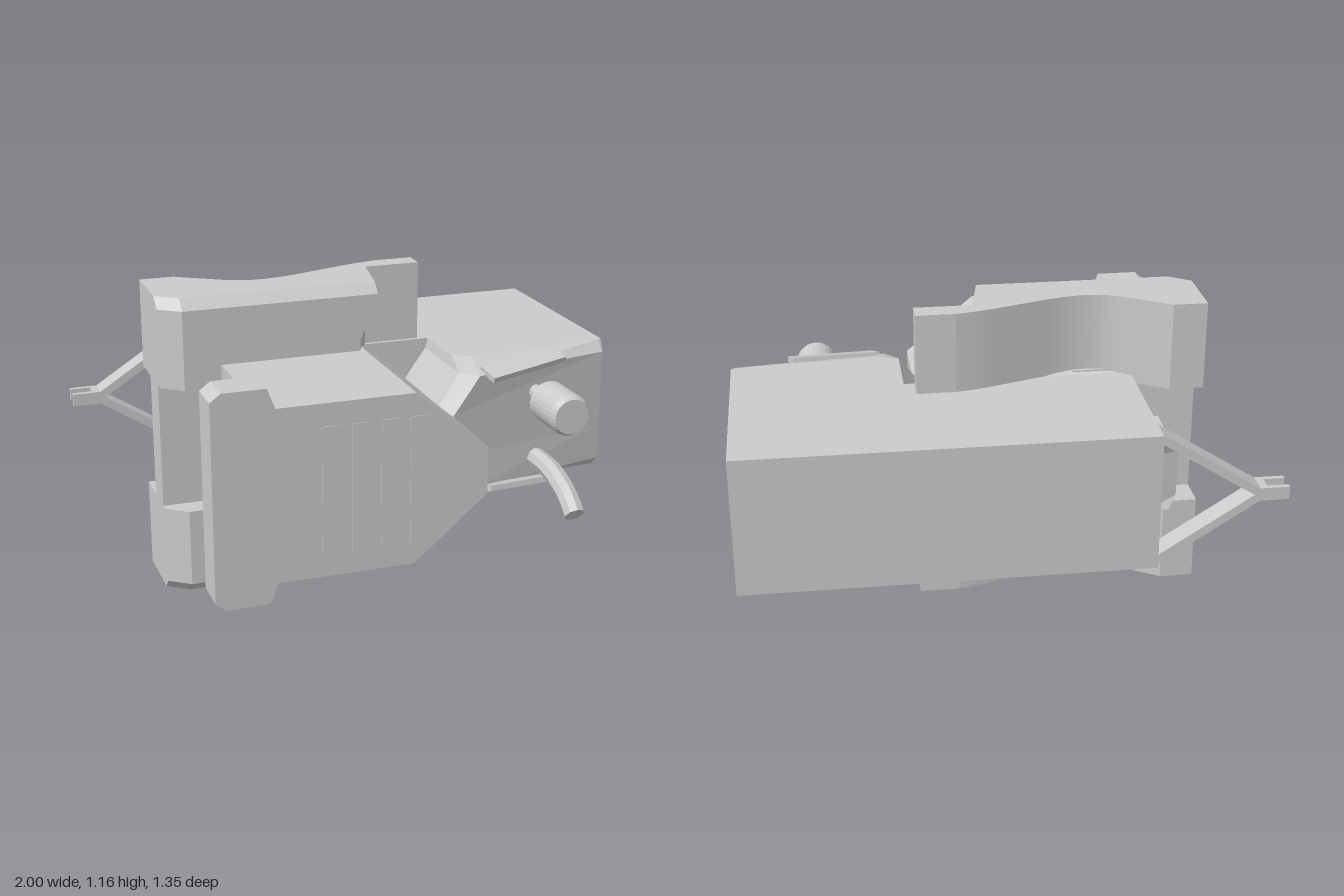
import * as THREE from 'three';

const MID = 0.58; // height of the mirror plane between upper and lower parts

// Solid through cross-sections [height, [[u, v], ...]]; axis 'z': (x, y) sections, axis 'y': (x, z) sections
function loft(levels, axis) {
  const rings = levels.map(([h, pts]) => {
    const ring = pts.map(([u, v]) => new THREE.Vector3(u, axis === 'y' ? -v : v, h));
    return THREE.ShapeUtils.area(ring) < 0 ? ring.reverse() : ring;
  });
  const out = [];
  const tri = (...vs) => vs.forEach((p) => out.push(p.x, p.y, p.z));
  const n = rings[0].length;
  for (let k = 0; k + 1 < rings.length; k++) {
    for (let i = 0; i < n; i++) {
      const j = (i + 1) % n, a = rings[k], b = rings[k + 1];
      tri(a[i], a[j], b[j]);
      tri(a[i], b[j], b[i]);
    }
  }
  const cap = (ring, flip) => {
    const flat = ring.map((p) => new THREE.Vector2(p.x, p.y));
    for (const [a, b, c] of THREE.ShapeUtils.triangulateShape(flat, [])) {
      if (flip) tri(ring[a], ring[c], ring[b]);
      else tri(ring[a], ring[b], ring[c]);
    }
  };
  cap(rings[0], true);
  cap(rings[rings.length - 1], false);
  const g = new THREE.BufferGeometry();
  g.setAttribute('position', new THREE.Float32BufferAttribute(out, 3));
  if (axis === 'y') g.rotateX(-Math.PI / 2);
  g.computeVertexNormals();
  return g;
}

export function createModel() {
  const model = new THREE.Group();
  const flat = new THREE.MeshStandardMaterial({ color: 0xcccccc, flatShading: true });
  const smooth = new THREE.MeshStandardMaterial({ color: 0xcccccc });

  const add = (name, geometry, material = flat) => {
    const mesh = new THREE.Mesh(geometry, material);
    mesh.name = name;
    model.add(mesh);
    return mesh;
  };
  // Box from its minimum and maximum corners
  const box = (name, x0, x1, y0, y1, z0, z1) => {
    const m = add(name, new THREE.BoxGeometry(x1 - x0, y1 - y0, z1 - z0));
    m.position.set((x0 + x1) / 2, (y0 + y1) / 2, (z0 + z1) / 2);
    return m;
  };

  // Main housing: long box whose slanted nose is chamfered above and below
  const plan = (left, leftZ, noseX, noseZ, endZ) => [
    [-0.52, -0.68], [1, -0.68], [1, 0.13], [0.985, endZ],
    [noseX, noseZ], [left, leftZ], [left, -0.1], [-0.52, -0.1],
  ];
  add('mainHousing', loft([
    [0.32, plan(0.35, 0.15, 0.42, 0.18, 0.14)],
    [0.36, plan(0.34, 0.25, 0.40, 0.31, 0.18)],
    [0.50, plan(0.24, 0.26, 0.29, 0.325, 0.18)],
    [0.67, plan(0.24, 0.26, 0.29, 0.325, 0.18)],
    [0.81, plan(0.34, 0.25, 0.40, 0.31, 0.18)],
    [0.85, plan(0.35, 0.15, 0.42, 0.18, 0.14)],
  ], 'y'));

  // Front block: pointed on one side, narrowing into the housing
  const hexagon = (half, corner) => [
    [-0.56, MID - half], [corner, MID - half], [0.28, 0.49],
    [0.28, 0.67], [corner, MID + half], [-0.56, MID + half],
  ];
  add('frontBlock', loft([
    [-0.11, hexagon(0.265, 0.09)],
    [0.08, hexagon(0.325, 0)],
    [0.67, hexagon(0.325, 0)],
  ], 'z'));

  // End flange of the front block
  const flange = (right) => [
    [-0.74, 0.21], [-0.70, 0.18], [right - 0.03, 0.18], [right, 0.26],
    [right, 0.90], [right - 0.03, 0.98], [-0.70, 0.98], [-0.74, 0.95],
  ];
  add('endFlange', loft([[0.53, flange(-0.55)], [0.67, flange(-0.51)]], 'z'));

  // Shallow ribs on the front face
  for (const x of [-0.315, -0.205, -0.095, 0.015]) {
    box('frontRib', x - 0.033, x + 0.033, 0.34, 0.82, 0.66, 0.673);
  }

  // Clamp wings, upper and lower, with a scooped back
  const scoop = new THREE.SplineCurve([
    [-0.65, -0.21], [-0.55, -0.145], [-0.45, -0.085], [-0.36, -0.065],
    [-0.25, -0.077], [-0.1, -0.125], [0.05, -0.175], [0.16, -0.2],
  ].map(([x, z]) => new THREE.Vector2(x, z))).getPoints(28).map((p) => [p.x, p.y]);
  const wingPlan = (end, front) => [
    [-0.78, -0.21], ...scoop, [0.31, -0.2], [0.31, -0.115], [0.09, -0.115],
    [end, front], [-0.70, front], [-0.78, front - 0.06],
  ];
  const wing = [
    [0.82, wingPlan(-0.02, 0.14)],
    [0.95, wingPlan(-0.02, 0.14)],
    [1.09, wingPlan(0.05, 0.14)],
    [1.12, wingPlan(0.05, 0.14)],
    [1.16, wingPlan(0.05, 0.10)],
  ];
  add('upperWing', loft(wing, 'y'));
  add('lowerWing', loft(wing.map(([h, p]) => [2 * MID - h, p]).reverse(), 'y'));
  box('wingColumn', -0.78, -0.3, 0.3, 0.86, -0.08, 0.05);

  // Knob on a shaft, standing out of the sloping nose
  const lathe = (name, pts, sides) => {
    const m = add(name, new THREE.LatheGeometry(pts.map(([r, z]) => new THREE.Vector2(r, z)), sides));
    m.rotation.x = Math.PI / 2;
    m.position.set(0.665, 0.7, 0);
  };
  lathe('knobShaft', [[0.03, 0.2], [0.03, 0.38]], 12);
  lathe('knob', [[0, 0.365], [0.08, 0.365], [0.08, 0.54], [0.068, 0.562], [0, 0.562]], 28);

  // Down-curving hook below the knob
  const hookPath = new THREE.CatmullRomCurve3([
    [0.425, 0.2], [0.425, 0.37], [0.405, 0.46], [0.37, 0.54], [0.32, 0.6],
  ].map(([y, z]) => new THREE.Vector3(0.675, y, z)));
  add('hook', new THREE.TubeGeometry(hookPath, 12, 0.04, 8));
  const tip = add('hookTip', new THREE.CircleGeometry(0.04, 8));
  tip.position.copy(hookPath.getPoint(1));
  tip.lookAt(tip.position.clone().add(hookPath.getTangent(1)));

  // Thin tilted fins along the upper and lower edge of the nose
  for (const side of [1, -1]) {
    const fin = add('noseFin', new THREE.BoxGeometry(0.35, 0.022, 0.09));
    fin.position.set(0.6, MID + side * 0.245, 0.265);
    fin.rotation.set(side * 0.3, 0.25, 0);
  }

  // Triangular bracket with a forked tip on the short end
  for (const side of [1, -1]) {
    const dx = 0.39, dy = 0.25 * side;
    const strut = add('bracketStrut', new THREE.BoxGeometry(Math.hypot(dx, dy), 0.032, 0.09));
    strut.position.set(-0.90 + dx / 2, 0.585 + dy / 2, -0.615);
    strut.rotation.z = Math.atan2(dy, dx);
  }
  box('bracketTip', -0.92, -0.87, 0.56, 0.61, -0.66, -0.57);
  box('forkProng', -1, -0.91, 0.56, 0.61, -0.66, -0.64);
  box('forkProng', -1, -0.91, 0.56, 0.61, -0.59, -0.57);

  // Ring and latch block on the short end
  const ring = add('endRing', new THREE.TorusGeometry(0.175, 0.022, 8, 32), smooth);
  ring.rotation.y = Math.PI / 2;
  ring.position.set(-0.53, 0.585, -0.38);
  box('latchBase', -0.55, -0.5, 0.45, 0.73, -0.50, -0.22);
  add('latchBlock', loft([
    [0.45, [[-0.52, -0.48], [-0.60, -0.48], [-0.60, -0.25], [-0.52, -0.25]]],
    [0.50, [[-0.52, -0.48], [-0.63, -0.46], [-0.63, -0.27], [-0.52, -0.25]]],
    [0.68, [[-0.52, -0.48], [-0.63, -0.46], [-0.63, -0.27], [-0.52, -0.25]]],
    [0.73, [[-0.52, -0.48], [-0.60, -0.48], [-0.60, -0.25], [-0.52, -0.25]]],
  ], 'y'));

  return model;
}
